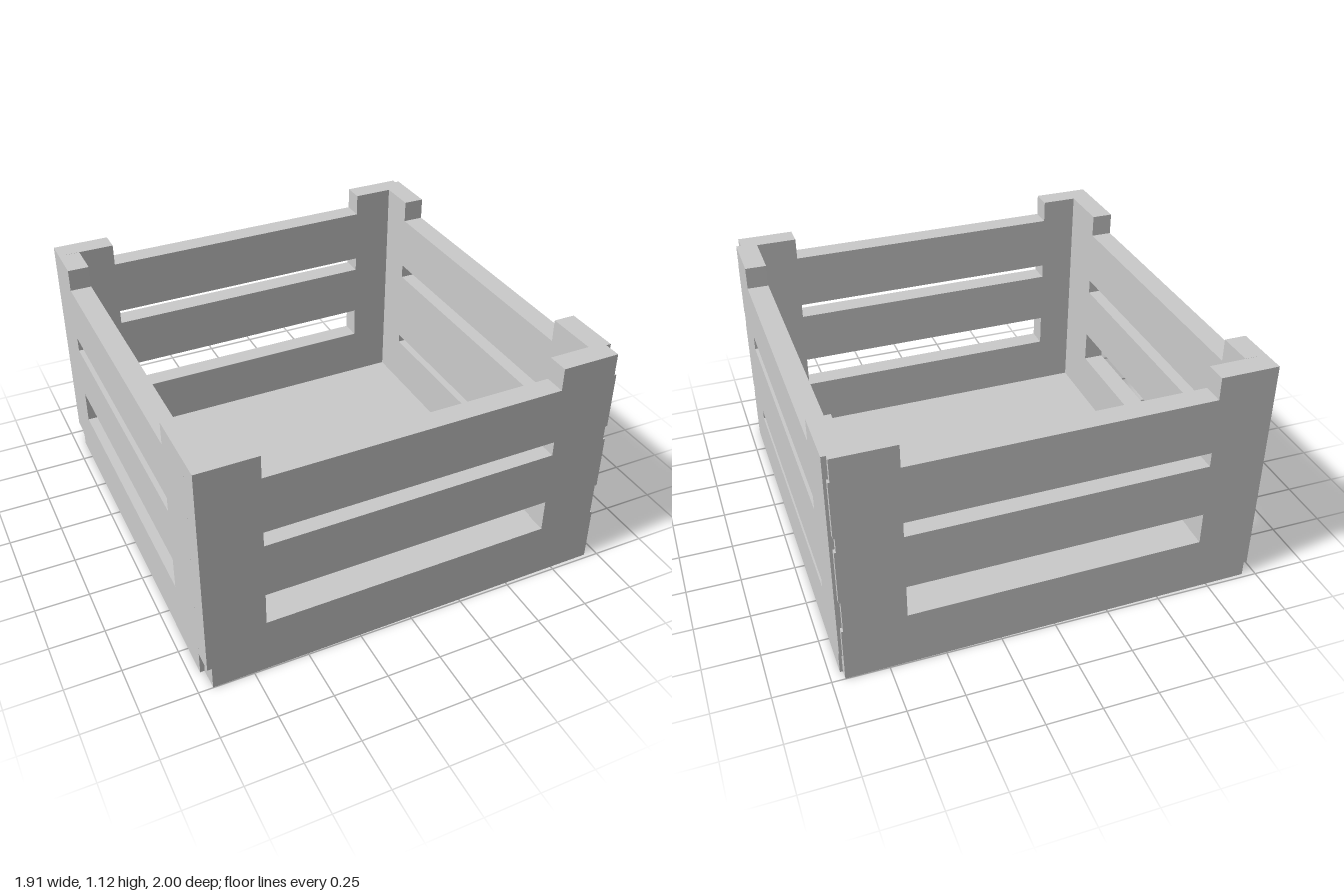
import * as THREE from 'three';

const T = 0.1;        // wall thickness
const POST = 1.12;    // height of the corner posts
const RAIL = 1.015;   // height of the top plank
const material = new THREE.MeshStandardMaterial({ color: 0xcccccc, flatShading: true });

// Points up one wall end; the end steps from "plank" to "gap" beside each slot
function steppedEnd(plank, gap, slots) {
  const pts = [[plank, 0]];
  for (const [lo, hi] of slots) pts.push([plank, lo], [gap, lo], [gap, hi], [plank, hi]);
  pts.push([plank, RAIL], [gap, RAIL], [gap, POST]);
  return pts;
}

// Points up one wall end with a small cut at the foot
const footCut = (foot, end, height) => [[foot, 0], [foot, height], [end, height], [end, POST]];
const plainEnd = (u) => [[u, 0], [u, POST]];

// Slatted wall: two end profiles, a lowered top between n0 and n1, and slots
function wallGeometry(lowEnd, highEnd, n0, n1, slots) {
  const outline = [
    ...highEnd, [n1, POST], [n1, RAIL], [n0, RAIL], [n0, POST],
    ...[...lowEnd].reverse(),
  ];
  const shape = new THREE.Shape(outline.map(([u, y]) => new THREE.Vector2(u, y)));
  for (const [lo, hi] of slots) {
    shape.holes.push(new THREE.Path([
      new THREE.Vector2(n0, lo), new THREE.Vector2(n0, hi),
      new THREE.Vector2(n1, hi), new THREE.Vector2(n1, lo),
    ]));
  }
  return new THREE.ExtrudeGeometry(shape, { depth: T, bevelEnabled: false });
}

// Front and back walls run very slightly askew
function skew(geometry) {
  const p = geometry.attributes.position;
  for (let i = 0; i < p.count; i++) p.setZ(i, p.getZ(i) - 0.009 * p.getX(i));
  geometry.computeVertexNormals();
  return geometry;
}

export function createModel() {
  const crate = new THREE.Group();
  crate.name = 'crate';
  const add = (name, geometry) => {
    const mesh = new THREE.Mesh(geometry, material);
    mesh.name = name;
    crate.add(mesh);
  };

  const wide = [[0.265, 0.42], [0.68, 0.75]];
  const narrow = [[0.265, 0.31], [0.68, 0.75]];

  // Front and back walls
  const front = wallGeometry(footCut(-0.935, -0.955, 0.11), steppedEnd(0.942, 0.932, wide), -0.687, 0.663, wide);
  add('frontWall', skew(front.translate(0, 0, 0.89)));
  const back = wallGeometry(footCut(-0.94, -0.955, 0.07), steppedEnd(0.942, 0.934, wide), -0.687, 0.663, wide);
  add('backWall', skew(back.translate(0, 0, -0.99)));

  // Side walls, turned so their length runs along z
  const left = wallGeometry(footCut(-0.955, -0.975, 0.11), steppedEnd(0.915, 0.902, narrow), -0.713, 0.638, narrow);
  add('leftWall', left.rotateY(-Math.PI / 2).translate(0.955, 0, 0));
  const right = wallGeometry(plainEnd(-0.8815), plainEnd(0.8985), -0.713, 0.638, wide);
  add('rightWall', right.rotateY(-Math.PI / 2).translate(-0.855, 0, 0));

  // Thin floor board between the walls
  add('floor', skew(new THREE.BoxGeometry(1.71, 0.02, 1.78).translate(0, 0.01, 0)));

  return crate;
}
